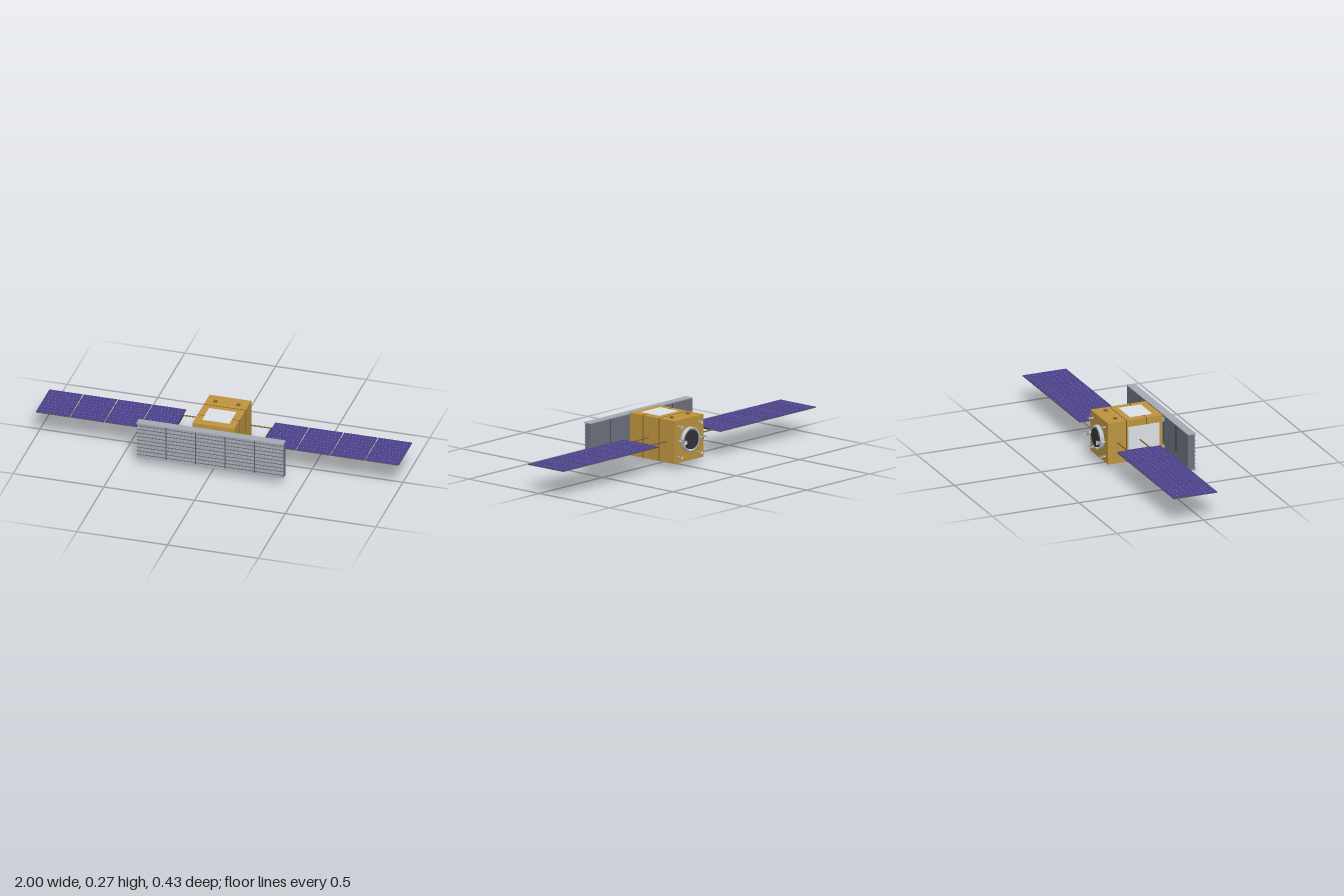
import * as THREE from 'three';
import { mergeGeometries } from 'three/addons/utils/BufferGeometryUtils.js';

const mat = (name, color, side = THREE.FrontSide) => {
  const m = new THREE.MeshStandardMaterial({ color, side });
  m.name = name;
  return m;
};

export function createModel() {
  const gold = mat('gold foil', 0xbe953f);
  const brown = mat('bronze', 0x86652a);
  const lightGrey = mat('light grey', 0xa6abb4);
  const darkGrey = mat('slate grey', 0x6f7280);
  const panelGrey = mat('panel back grey', 0x595b62);
  const silver = mat('silver', 0xc6c9ce, THREE.DoubleSide);
  const white = mat('radiator white', 0xdfe3e8);
  const purple = mat('solar cell purple', 0x4a3f8c);
  const cellLine = mat('cell line', 0x8d88a6);
  const black = mat('near black', 0x323338);

  const model = new THREE.Group();
  model.name = 'satellite';

  const add = (name, geo, material, parent = model) => {
    const mesh = new THREE.Mesh(geo, material);
    mesh.name = name;
    parent.add(mesh);
    return mesh;
  };
  // Box from its minimum and maximum corners
  const span = (x0, x1, y0, y1, z0, z1) =>
    new THREE.BoxGeometry(x1 - x0, y1 - y0, z1 - z0)
      .translate((x0 + x1) / 2, (y0 + y1) / 2, (z0 + z1) / 2);
  // Round bar between two points
  const rod = (a, b, r, sides = 8) => {
    const p = new THREE.Vector3(...a), q = new THREE.Vector3(...b);
    const d = q.clone().sub(p);
    const g = new THREE.CylinderGeometry(r, r, d.length(), sides);
    g.applyQuaternion(new THREE.Quaternion().setFromUnitVectors(
      new THREE.Vector3(0, 1, 0), d.normalize()));
    return g.translate(...p.add(q).multiplyScalar(0.5).toArray());
  };
  const lathe = (points, sides) =>
    new THREE.LatheGeometry(points.map(p => new THREE.Vector2(...p)), sides);

  // Body with raised seams
  add('body', span(-0.115, 0.115, 0.031, 0.262, -0.165, 0.15), gold);
  for (const z of [0.057, -0.058])
    add('bodySeam', span(-0.116, 0.116, 0.03, 0.263, z - 0.0025, z + 0.0025), brown);

  // Radiators and roof sensors
  add('topRadiator', span(-0.075, 0.075, 0.261, 0.2645, -0.023, 0.106), white);
  add('sideRadiator', span(-0.119, -0.114, 0.07, 0.225, -0.05, 0.13), white);
  for (const x of [-0.064, 0.064])
    add('roofSensor', span(x - 0.009, x + 0.009, 0.262, 0.269, -0.11, -0.092), brown);

  // Radar antenna: core, frame, five front panels with thin slats
  const radar = new THREE.Group();
  radar.name = 'radarAntenna';
  model.add(radar);
  add('radarCore', span(-0.404, 0.404, 0.047, 0.246, 0.171, 0.208), darkGrey, radar);
  add('radarTopRail', span(-0.405, 0.405, 0.245, 0.25, 0.17, 0.216), lightGrey, radar);
  add('radarBottomRail', span(-0.405, 0.405, 0.043, 0.048, 0.17, 0.216), lightGrey, radar);
  const edges = [-0.404, -0.244, -0.081, 0.081, 0.244, 0.404];
  const slats = [];
  for (let i = 0; i < 5; i++) {
    const x0 = edges[i] + (i ? 0.003 : 0), x1 = edges[i + 1] - (i < 4 ? 0.003 : 0);
    add('radarPanel', span(x0, x1, 0.048, 0.245, 0.207, 0.21), lightGrey, radar);
    for (let k = 0; k < 9; k++) {
      const y = 0.0595 + k * 0.0217;
      slats.push(span(x0, x1, y - 0.0006, y + 0.0006, 0.209, 0.2145));
    }
    if (i) {
      add('radarGap', span(edges[i] - 0.003, edges[i] + 0.003, 0.048, 0.245, 0.207, 0.2095), panelGrey, radar);
      add('radarHinge', span(edges[i] - 0.002, edges[i] + 0.002, 0.1, 0.245, 0.1695, 0.172), black, radar);
    }
  }
  add('radarSlats', mergeGeometries(slats), panelGrey, radar);
  for (const x of [-0.08, 0.08]) for (const y of [0.069, 0.226])
    add('radarMount', span(x - 0.011, x + 0.011, y - 0.011, y + 0.011, 0.149, 0.172), lightGrey);

  // Solar wings
  for (const s of [1, -1]) {
    const wing = new THREE.Group();
    wing.name = s > 0 ? 'leftWing' : 'rightWing';
    model.add(wing);
    const sx = (x0, x1, ...rest) => span(Math.min(s * x0, s * x1), Math.max(s * x0, s * x1), ...rest);
    const z0 = -0.171, z1 = 0.079, w = 0.184, pitch = 0.1903;
    for (let i = 0; i < 4; i++) {
      const x0 = 0.245 + i * pitch, x1 = x0 + w;
      add('wingPanel', sx(x0, x1, 0.143, 0.148, z0, z1), panelGrey, wing);
      add('solarCells', sx(x0 + 0.001, x1 - 0.001, 0.147, 0.1487, z0 + 0.001, z1 - 0.001), purple, wing);
      const lines = [];
      for (let k = 1; k < 6; k++) {
        const x = x0 + (k * w) / 6;
        lines.push(sx(x - 0.0003, x + 0.0003, 0.148, 0.149, z0 + 0.002, z1 - 0.002));
      }
      for (let k = 1; k < 8; k++) {
        const z = z0 + (k * (z1 - z0)) / 8;
        lines.push(sx(x0 + 0.002, x1 - 0.002, 0.148, 0.149, z - 0.0003, z + 0.0003));
      }
      add('cellLines', mergeGeometries(lines), cellLine, wing);
      if (i) for (const z of [-0.11, 0.02])
        add('panelHinge', sx(x0 - 0.008, x0 + 0.001, 0.144, 0.147, z - 0.003, z + 0.003), panelGrey, wing);
    }
    // Yoke arms and diagonal brace
    for (const z of [-0.11, 0.018])
      add('yokeArm', rod([s * 0.114, 0.146, z], [s * 0.246, 0.146, z], 0.0037), brown, wing);
    add('yokeBar', sx(0.24, 0.246, 0.1435, 0.1485, -0.112, 0.022), black, wing);
    add('wingBrace', rod([s * 0.244, 0.146, 0.082], [s * 0.114, 0.062, 0.135], 0.0011, 6), black, wing);
  }

  // Launch ring on the back
  add('launchRing', lathe([
    [0.055, 0], [0.067, 0], [0.067, 0.02], [0.055, 0.02], [0.055, 0],
  ], 40).rotateX(-Math.PI / 2).translate(0, 0.147, -0.165), silver);
  add('ringDisc', new THREE.CylinderGeometry(0.051, 0.051, 0.025, 40)
    .rotateX(Math.PI / 2).translate(0, 0.147, -0.1775), black);

  // Thrusters: flared nozzles open to the back
  const nozzle = (name, x, y, r0, r1, len) => add(name, lathe([
    [0, 0], [r0, 0], [(r0 * 2 + r1) / 3, len * 0.4], [r1, len], [r0 * 0.6, len * 0.35],
  ], 20).rotateX(-Math.PI / 2).translate(x, y, -0.164), silver);
  for (const x of [-0.078, 0.078]) {
    nozzle('mainThruster', x, 0.147, 0.005, 0.0125, 0.05);
    for (const y of [0.064, 0.229]) nozzle('cornerThruster', x, y, 0.004, 0.0085, 0.025);
  }

  // Downward dish with tripod feed
  const dish = new THREE.Group();
  dish.name = 'dishAntenna';
  dish.position.set(0, 0, 0.078);
  model.add(dish);
  add('dish', lathe([
    [0.03, 0.021], [0.022, 0.026], [0.012, 0.0295], [0, 0.031],
  ], 32), silver, dish);
  for (let i = 0; i < 3; i++) {
    const a = (i * 2 * Math.PI) / 3 - Math.PI / 2;
    add('feedStrut', rod([0.029 * Math.cos(a), 0.021, 0.029 * Math.sin(a)], [0, 0.002, 0], 0.0007, 6), black, dish);
  }
  add('feed', new THREE.SphereGeometry(0.002, 10, 8).translate(0, 0.002, 0), black, dish);

  return model;
}
